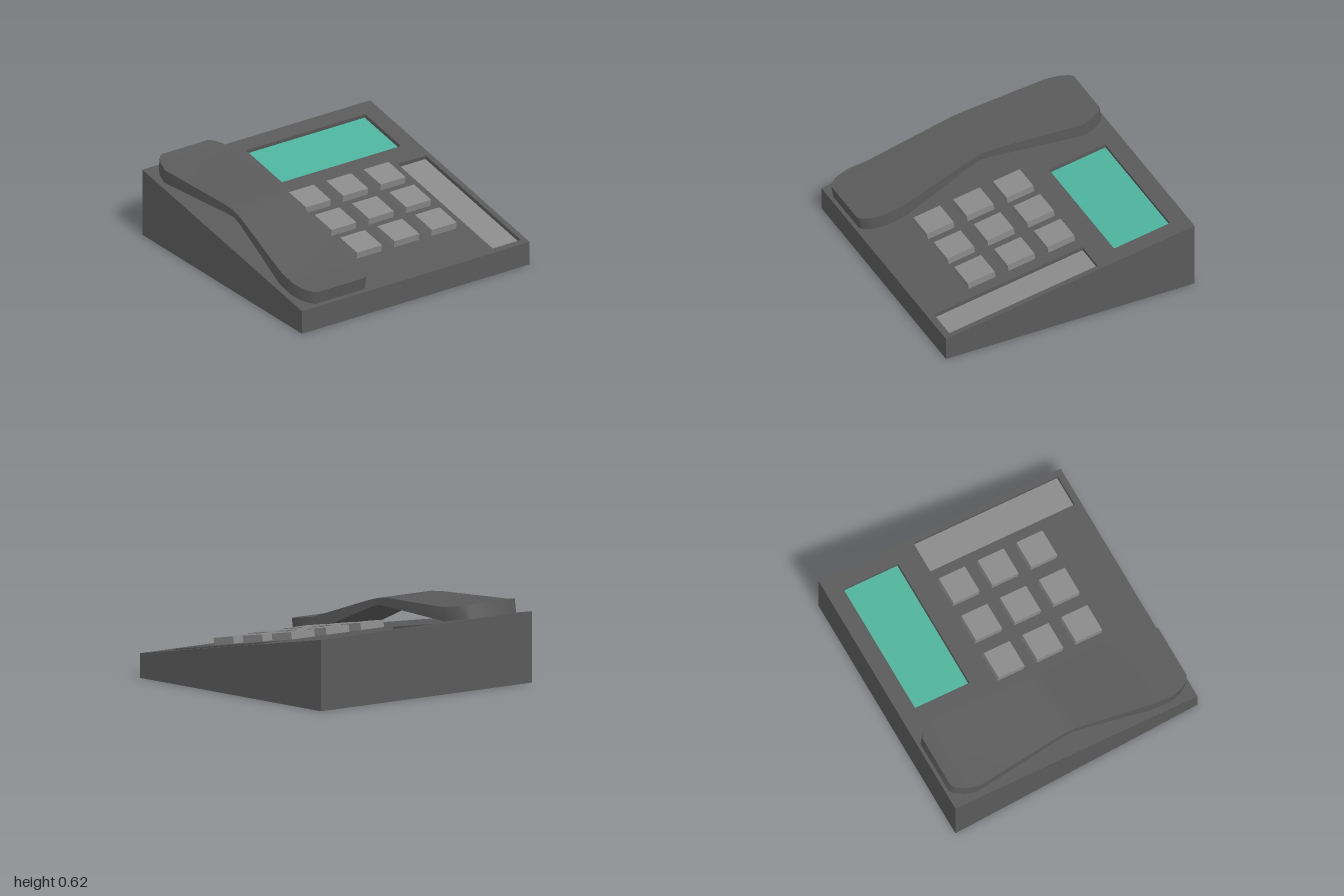
import * as THREE from 'three';
import { toCreasedNormals } from 'three/addons/utils/BufferGeometryUtils.js';

const SLOPE = 0.17;   // rise of the top face per unit towards the back
const MID = 0.35;     // height of the top face at z = 0
const DEPTH = 0.034;  // depth of the recesses

const casing = new THREE.MeshStandardMaterial({ name: 'dark grey casing', color: 0x5a5a5a });
const keyGrey = new THREE.MeshStandardMaterial({ name: 'light grey keys', color: 0x8a8a8a });
const teal = new THREE.MeshStandardMaterial({ name: 'teal display', color: 0x4db39d });

// Recesses in the top face: x0, x1, back z, front z
const SCREEN = [-0.18, 0.865, -0.87, -0.42];
const STRIP = [0.71, 0.957, -0.24, 0.952];

function mesh(name, geometry, material, parent) {
  const m = new THREE.Mesh(geometry, material);
  m.name = name;
  parent.add(m);
  return m;
}

function rectangle(Type, [x0, x1, z0, z1]) {
  return new Type([[x0, -z1], [x1, -z1], [x1, -z0], [x0, -z0]].map(p => new THREE.Vector2(...p)));
}

// Wedge below the recesses
function wedgeGeometry() {
  const profile = new THREE.Shape([
    [-1, 0], [1, 0], [1, MID - SLOPE - DEPTH], [-1, MID + SLOPE - DEPTH],
  ].map(p => new THREE.Vector2(...p)));
  return new THREE.ExtrudeGeometry(profile, { depth: 2, bevelEnabled: false })
    .rotateY(-Math.PI / 2).translate(1, 0, 0);
}

// Sloping top plate with the two recesses cut through
function topPlateGeometry() {
  const outline = rectangle(THREE.Shape, [-1, 1, -1, 1]);
  outline.holes.push(rectangle(THREE.Path, SCREEN), rectangle(THREE.Path, STRIP));
  const geometry = new THREE.ExtrudeGeometry(outline, { depth: DEPTH, bevelEnabled: false })
    .rotateX(-Math.PI / 2).translate(0, -DEPTH, 0);
  const p = geometry.attributes.position;
  for (let i = 0; i < p.count; i++) {
    const d = p.getY(i);
    let z = p.getZ(i);
    if (Math.abs(z) < 0.99) z += SLOPE * d; // recess walls square to the slope
    p.setXYZ(i, p.getX(i), MID - SLOPE * z + d, z);
  }
  geometry.computeVertexNormals();
  return geometry;
}

// Handset lofted through rectangular sections: top z, top y, bottom z, bottom y, half width
function handsetGeometry() {
  const stations = [
    [0.992, 0.290, 0.975, 0.190, 0.205],
    [0.975, 0.293, 0.958, 0.193, 0.235],
    [0.915, 0.303, 0.898, 0.203, 0.277],
    [0.810, 0.321, 0.793, 0.221, 0.303],
    [0.665, 0.345, 0.640, 0.247, 0.296],
    [0.100, 0.532, 0.085, 0.482, 0.248],
    [0.000, 0.558, 0.000, 0.507, 0.245],
    [-0.10, 0.569, -0.10, 0.505, 0.249],
    [-0.78, 0.590, -0.79, 0.488, 0.303],
    [-0.87, 0.605, -0.885, 0.504, 0.277],
    [-0.94, 0.617, -0.955, 0.516, 0.235],
    [-0.96, 0.621, -0.976, 0.520, 0.205],
  ];
  const rings = stations.map(([zt, yt, zb, yb, w]) =>
    [[-w, yt, zt], [w, yt, zt], [w, yb, zb], [-w, yb, zb]]);
  const points = [];
  const quad = (a, b, c, d) => points.push(...a, ...b, ...c, ...a, ...c, ...d);
  for (let i = 0; i < rings.length - 1; i++) {
    const r = rings[i], s = rings[i + 1];
    for (let k = 0; k < 4; k++) {
      const n = (k + 1) % 4;
      quad(r[k], r[n], s[n], s[k]);
    }
  }
  const front = rings[0], back = rings[rings.length - 1];
  quad(front[3], front[2], front[1], front[0]);
  quad(back[0], back[1], back[2], back[3]);
  const geometry = new THREE.BufferGeometry();
  geometry.setAttribute('position', new THREE.Float32BufferAttribute(points, 3));
  return toCreasedNormals(geometry, 0.9);
}

// Thin plate lying on a recess floor, in the sloping frame
function recessPanel(name, [x0, x1, z0, z1], material, parent) {
  const stretch = Math.sqrt(1 + SLOPE * SLOPE);
  const panel = mesh(name, new THREE.BoxGeometry(x1 - x0, 0.006, (z1 - z0) * stretch), material, parent);
  panel.position.set((x0 + x1) / 2, -DEPTH + 0.001, (z0 + z1) / 2 * stretch);
}

export function createModel() {
  const phone = new THREE.Group();
  phone.name = 'deskTelephone';

  const base = new THREE.Group();
  base.name = 'base';
  phone.add(base);
  mesh('baseWedge', wedgeGeometry(), casing, base);
  mesh('topPlate', topPlateGeometry(), casing, base);

  // Everything on the sloping face shares one tilted frame
  const face = new THREE.Group();
  face.name = 'controlFace';
  face.position.y = MID;
  face.rotation.x = Math.atan(SLOPE);
  phone.add(face);
  recessPanel('displayScreen', SCREEN, teal, face);
  recessPanel('labelStrip', STRIP, keyGrey, face);

  // Three by three keypad
  const keyGeometry = new THREE.BoxGeometry(0.218, 0.06, 0.218);
  for (let row = 0; row < 3; row++) {
    for (let column = 0; column < 3; column++) {
      const key = mesh(`key${row * 3 + column + 1}`, keyGeometry, keyGrey, face);
      key.position.set(-0.148 + column * 0.328, 0.023, -0.126 + row * 0.325);
    }
  }

  const handset = mesh('handset', handsetGeometry(), casing, phone);
  handset.position.x = -0.653;
  return phone;
}
